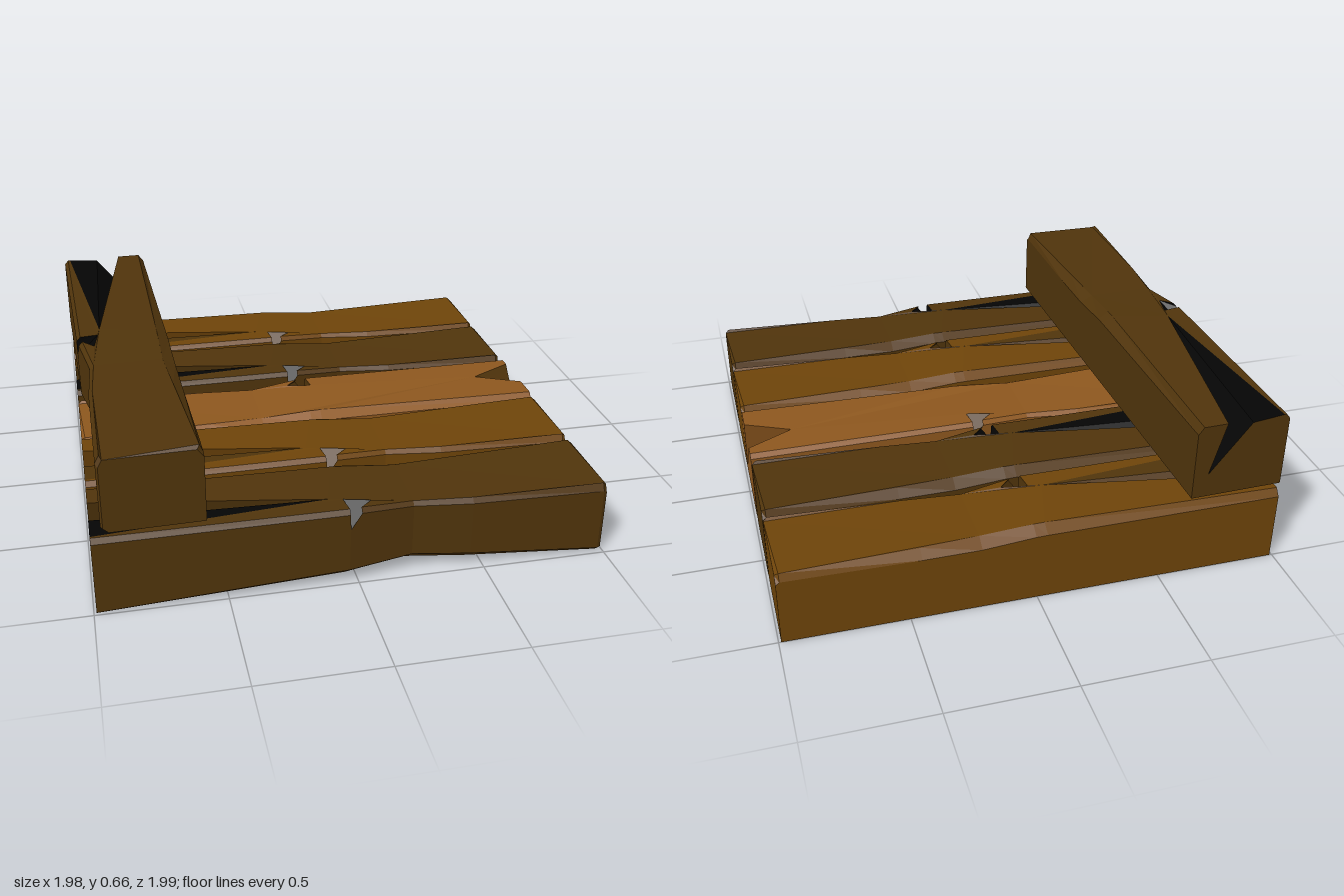
import * as THREE from 'three';

const mat = (name, color) => {
  const m = new THREE.MeshStandardMaterial({ color });
  m.name = name;
  return m;
};

// Collects polygons as flat triangles facing a rough outward direction.
function faceList() {
  const pos = [];
  const add = (pts, out) => {
    const o = new THREE.Vector3(...out);
    const a = out.map(Math.abs);
    const axis = a.indexOf(Math.max(...a));
    const [u, v] = [[1, 2], [0, 2], [0, 1]][axis];
    let flat = pts.map((p) => new THREE.Vector2(p[u], p[v]));
    if (THREE.ShapeUtils.area(flat) < 0) {
      flat = flat.reverse();
      pts = [...pts].reverse();
    }
    for (const t of THREE.ShapeUtils.triangulateShape(flat, [])) {
      const [p, q, r] = t.map((i) => new THREE.Vector3(...pts[i]));
      const n = q.clone().sub(p).cross(r.clone().sub(p));
      const tri = n.dot(o) < 0 ? [p, r, q] : [p, q, r];
      tri.forEach((k) => pos.push(k.x, k.y, k.z));
    }
  };
  const mesh = (name, material) => {
    const g = new THREE.BufferGeometry();
    g.setAttribute('position', new THREE.Float32BufferAttribute(pos, 3));
    g.computeVertexNormals();
    const m = new THREE.Mesh(g, material);
    m.name = name;
    return m;
  };
  return { add, mesh };
}

// Stations along the plank: x, top y, back bevel width, front z, front bevel drop, underside rise, underside inset
const STATIONS = [
  [-0.99, 0.318, 0.022, 0.19, 0.02, 0.004, 0.004],
  [-0.035, 0.318, 0.044, 0.19, 0.018, 0.056, 0.07],
  [0.01, 0.317, 0.045, 0.184, 0.018, 0.059, 0.075],
  [0.22, 0.3, 0.05, 0.154, 0.015, 0.07, 0.09],
  [0.45, 0.299, 0.037, 0.175, 0.02, 0.055, 0.07],
  [0.975, 0.308, 0.014, 0.19, 0.03, 0.018, 0.02],
  [0.99, 0.296, 0.024, 0.182, 0.03, 0.018, 0.02],
];
const BACK = -0.19;
const NOTCH = 1; // segment holding the side notch

function plank(name, wood, inner, split) {
  const body = faceList(), cut = faceList();
  const rings = STATIONS.map(([x, top, w, f, drop, rise, inset]) => [
    [x, 0, BACK], [x, top - 0.03, BACK], [x, top, BACK + w],
    [x, top, f - 0.016], [x, top - drop, f], [x, rise, f], [x, 0, f - inset],
  ]);
  const first = rings[0], last = rings[rings.length - 1];
  const R = [-0.045, 0.317, 0.1], Q = [0.06, 0.314, 0.122], S = [-0.033, 0.235, 0.19];

  // Long sides and bevels
  const strips = [
    [0, 1, [0, 0, -1]], [1, 2, [0, 1, -0.9]], [3, 4, [0, 1, 0.9]],
    [4, 5, [0, 0, 1]], [5, 6, [0, -1, 0.9]], [6, 0, [0, -1, 0]],
  ];
  for (let i = 0; i < rings.length - 1; i++) {
    const a = rings[i], b = rings[i + 1];
    for (const [j, k, out] of strips) {
      if (i === NOTCH && j === 3) continue;
      const quad = [a[j], b[j], b[k], a[k]];
      if (i === NOTCH && j === 4) quad.splice(1, 0, S);
      body.add(quad, out);
    }
  }

  // Top, opened by the end split and the side notch
  const A = [-0.99, 0.318, split.a], B = [-0.99, 0.318, split.b];
  const F = [-0.99, ...split.f], C = [-0.99, ...split.c];
  const D = [split.d[0], 0.318, split.d[1]];
  const front = rings.map((r) => r[3]).reverse();
  front.splice(rings.length - 1 - NOTCH, 0, Q, R);
  body.add([...rings.map((r) => r[2]), ...front, B, D, A], [0, 1, 0]);

  // Ends
  body.add(last, [1, 0, 0]);
  body.add([...first.slice(0, 3), A, C, F, B, ...first.slice(3)], [-1, 0, 0]);

  // Split: overhanging wall, shallow ledge and steep inner wall
  body.add([A, C, D], [0, 0, 1]);
  cut.add([B, F, D], [0, 1, 0]);
  cut.add([F, C, D], [0, 1, 0]);

  // Notch walls
  const p = rings[NOTCH], q = rings[NOTCH + 1];
  cut.add([R, p[3], p[4]], [1, 0.1, 0.1]);
  cut.add([R, p[4], S], [1, 0, 0]);
  cut.add([R, S, Q], [0, 1, 0]);
  cut.add([S, q[4], Q], [0, 1, 0]);
  cut.add([Q, q[4], q[3]], [-1, 0, 0]);

  const g = new THREE.Group();
  g.name = name;
  g.add(body.mesh('wood', wood), cut.mesh('splitWood', inner));
  return g;
}

export function createModel() {
  const dark = mat('dark wood', 0x50340b);
  const golden = mat('golden wood', 0x6e4409);
  const light = mat('light wood', 0x8d571e);
  const black = mat('charred wood', 0x050505);

  const longSplit = { a: -0.07, b: 0.165, f: [0.305, 0.035], c: [0.1, -0.13], d: [-0.1, 0.09] };
  const shortSplit = { a: -0.06, b: 0.13, f: [0.285, 0.1], c: [0.03, -0.17], d: [-0.8, 0.03] };

  const model = new THREE.Group();
  model.name = 'woodenPlanks';

  // Row of floor planks, back to front
  const row = [
    ['backPlank', golden, dark, -0.81],
    ['backInnerPlank', dark, black, -0.41],
    ['middlePlank', light, dark, 0],
    ['frontInnerPlank', golden, dark, 0.395],
    ['frontPlank', dark, black, 0.8],
  ];
  for (const [name, wood, inner, z] of row) {
    const middle = name === 'middlePlank';
    const p = plank(name, wood, inner, middle ? shortSplit : longSplit);
    p.position.z = z;
    if (middle) {
      // Turned end for end and slightly thinner
      p.rotation.y = Math.PI;
      p.scale.y = 0.965;
    }
    model.add(p);
  }

  // Beam lying across the right end
  const beam = plank('crossBeam', dark, black, longSplit);
  beam.position.set(-0.782, 0.345, 0);
  beam.rotation.y = -Math.PI / 2 + 0.023;
  model.add(beam);
  return model;
}
